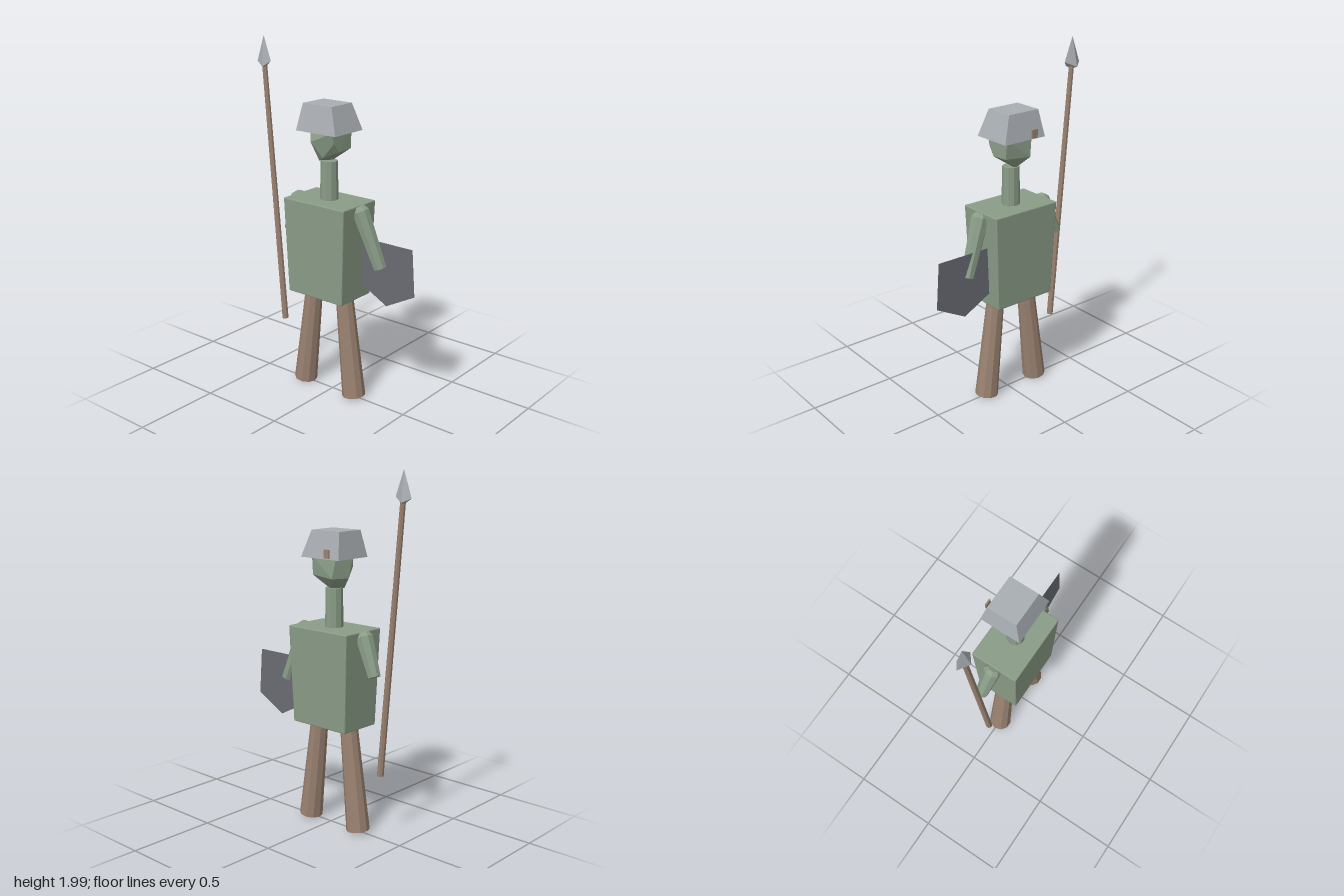
import * as THREE from 'three';
import { ConvexGeometry } from 'three/addons/geometries/ConvexGeometry.js';
import { RoundedBoxGeometry } from 'three/addons/geometries/RoundedBoxGeometry.js';

const V = (x, y, z) => new THREE.Vector3(x, y, z);

export function createModel() {
  const mat = (name, color) => Object.assign(new THREE.MeshStandardMaterial({ color }), { name });
  const green = mat('green skin', 0x8a9c87);
  const wood = mat('brown wood', 0x9a8271);
  const steel = mat('pale steel', 0xa9aeb3);
  const iron = mat('dark iron', 0x6a6b72);
  iron.side = THREE.DoubleSide;

  const model = new THREE.Group();
  model.name = 'spearman';
  const midX = -0.024; // body centre line

  // Adds a mesh with flat facets
  function add(name, geometry, material) {
    const flat = geometry.index ? geometry.toNonIndexed() : geometry;
    flat.computeVertexNormals();
    const mesh = new THREE.Mesh(flat, material);
    mesh.name = name;
    model.add(mesh);
    return mesh;
  }

  // Faceted limb from a to b, with an optional bevel at its upper end
  function limb(name, a, b, ra, rb, sides, material, bevel = 0) {
    const length = a.distanceTo(b);
    const profile = [[0, 0], [rb, 0], [ra, length - bevel]];
    if (bevel) profile.push([ra * 0.65, length]);
    profile.push([0, length]);
    const geo = new THREE.LatheGeometry(profile.map(([r, y]) => new THREE.Vector2(r, y)), sides);
    geo.rotateY(Math.PI / sides);
    const mesh = add(name, geo, material);
    mesh.position.copy(b);
    mesh.quaternion.setFromUnitVectors(V(0, 1, 0), a.clone().sub(b).normalize());
    return mesh;
  }

  // Torso, narrowing slightly to the waist
  const torso = new RoundedBoxGeometry(0.422, 0.547, 0.28, 1, 0.006);
  const p = torso.attributes.position;
  for (let i = 0; i < p.count; i++) {
    const t = 0.5 - p.getY(i) / 0.547;
    p.setX(i, p.getX(i) * (1 - 0.1 * t));
    p.setZ(i, p.getZ(i) * (1 - 0.09 * t));
  }
  torso.translate(midX, 0.873, 0);
  add('torso', torso, green);

  // Legs
  for (const [side, s] of [['left', 1], ['right', -1]]) {
    limb(`${side}Leg`, V(midX + s * 0.105, 0.64, 0), V(midX + s * 0.18, 0.013, 0), 0.048, 0.066, 10, wood);
  }

  // Arms
  limb('leftArm', V(0.18, 1.14, 0), V(0.304, 0.808, -0.032), 0.05, 0.037, 8, green, 0.025);
  limb('rightArm', V(-0.23, 1.14, 0), V(-0.328, 0.915, -0.02), 0.05, 0.036, 8, green, 0.025);

  // Neck
  limb('neck', V(midX, 1.362, 0), V(midX, 1.13, 0), 0.047, 0.051, 10, green);

  // Angular head
  add('head', new ConvexGeometry([
    V(-0.08, 1.47, 0.088), V(0.065, 1.475, 0.07), V(-0.127, 1.42, 0), V(-0.07, 1.36, 0.03),
    V(-0.03, 1.355, -0.03), V(0.07, 1.425, 0.03), V(0.068, 1.43, -0.07), V(-0.085, 1.42, -0.088),
    V(-0.02, 1.385, 0.06), V(-0.105, 1.535, 0.06), V(0.065, 1.535, 0.085),
    V(0.065, 1.535, -0.08), V(-0.105, 1.535, -0.075),
  ]), green);

  // Helmet: a box whose top is smaller and offset
  const helmet = new THREE.BoxGeometry(1, 1, 1);
  const h = helmet.attributes.position;
  for (let i = 0; i < h.count; i++) {
    const top = h.getY(i) > 0;
    h.setXYZ(i,
      top ? -0.039 + h.getX(i) * 0.197 : -0.025 + h.getX(i) * 0.27,
      top ? 1.673 : 1.527,
      top ? -0.003 + h.getZ(i) * 0.17 : -0.002 + h.getZ(i) * 0.233);
  }
  add('helmet', helmet, steel);

  // Small tab behind the helmet
  add('helmetTab', new THREE.BoxGeometry(0.036, 0.046, 0.009), wood).position.set(-0.082, 1.557, -0.125);

  // Shield: a thin five-sided plate held on the left arm
  const outline = [[0.18, 0.95], [0.165, 0.68], [0.337, 0.59], [0.52, 0.688], [0.5, 0.95]];
  const shield = new THREE.ShapeGeometry(new THREE.Shape(outline.map(([x, y]) => new THREE.Vector2(x, y))));
  add('shield', shield, iron).position.z = -0.05;

  // Spear
  limb('spearShaft', V(-0.469, 1.84, 0.02), V(-0.344, 0.36, 0.02), 0.015, 0.019, 8, wood);
  add('spearHead', new ConvexGeometry([
    V(-0.472, 2, 0.02), V(-0.524, 1.855, 0.018), V(-0.42, 1.862, 0.022),
    V(-0.458, 1.832, 0.052), V(-0.482, 1.835, -0.012), V(-0.468, 1.822, 0.02),
  ]), steel);

  return model;
}
